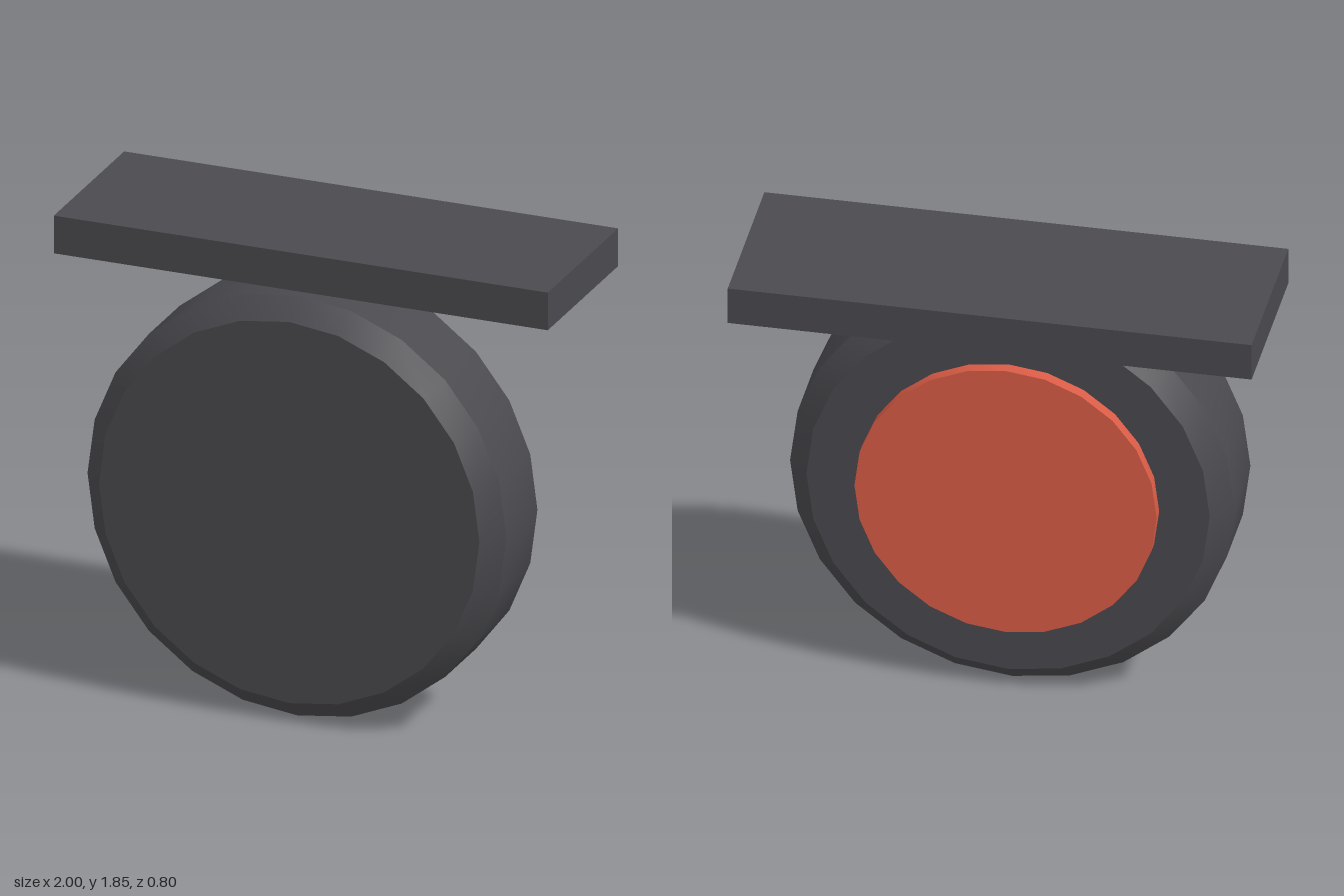
import * as THREE from 'three';
import { toCreasedNormals } from 'three/addons/utils/BufferGeometryUtils.js';

const SIDES = 24;
const CENTRE_Y = 0.848;

// Turns a [radius, z] profile, listed back to front, around the z axis.
function turned(name, profile, material) {
  const points = profile.map(([r, z]) => new THREE.Vector2(r, z));
  const lathe = new THREE.LatheGeometry(points, SIDES).rotateX(Math.PI / 2);
  const mesh = new THREE.Mesh(toCreasedNormals(lathe, Math.PI / 6), material);
  mesh.name = name;
  mesh.position.y = CENTRE_Y;
  return mesh;
}

export function createModel() {
  const charcoal = new THREE.MeshStandardMaterial({ color: 0x4a4a4f });
  charcoal.name = 'charcoal';
  const red = new THREE.MeshStandardMaterial({ color: 0xda5c46 });
  red.name = 'coralRed';

  const model = new THREE.Group();
  model.name = 'wheelAndPlate';

  // Thick round body with bevelled rims
  model.add(turned('wheel', [
    [0, -0.055], [0.77, -0.055], [0.848, 0.022],
    [0.848, 0.325], [0.77, 0.402], [0, 0.402],
  ], charcoal));

  // Raised disc on the back
  model.add(turned('backDisc', [
    [0, -0.103], [0.577, -0.103], [0.577, -0.05],
  ], red));

  // Flat plate resting on top
  const plate = new THREE.Mesh(new THREE.BoxGeometry(2, 0.152, 0.69), charcoal);
  plate.name = 'topPlate';
  plate.position.set(0, 1.773, -0.057);
  model.add(plate);

  return model;
}
